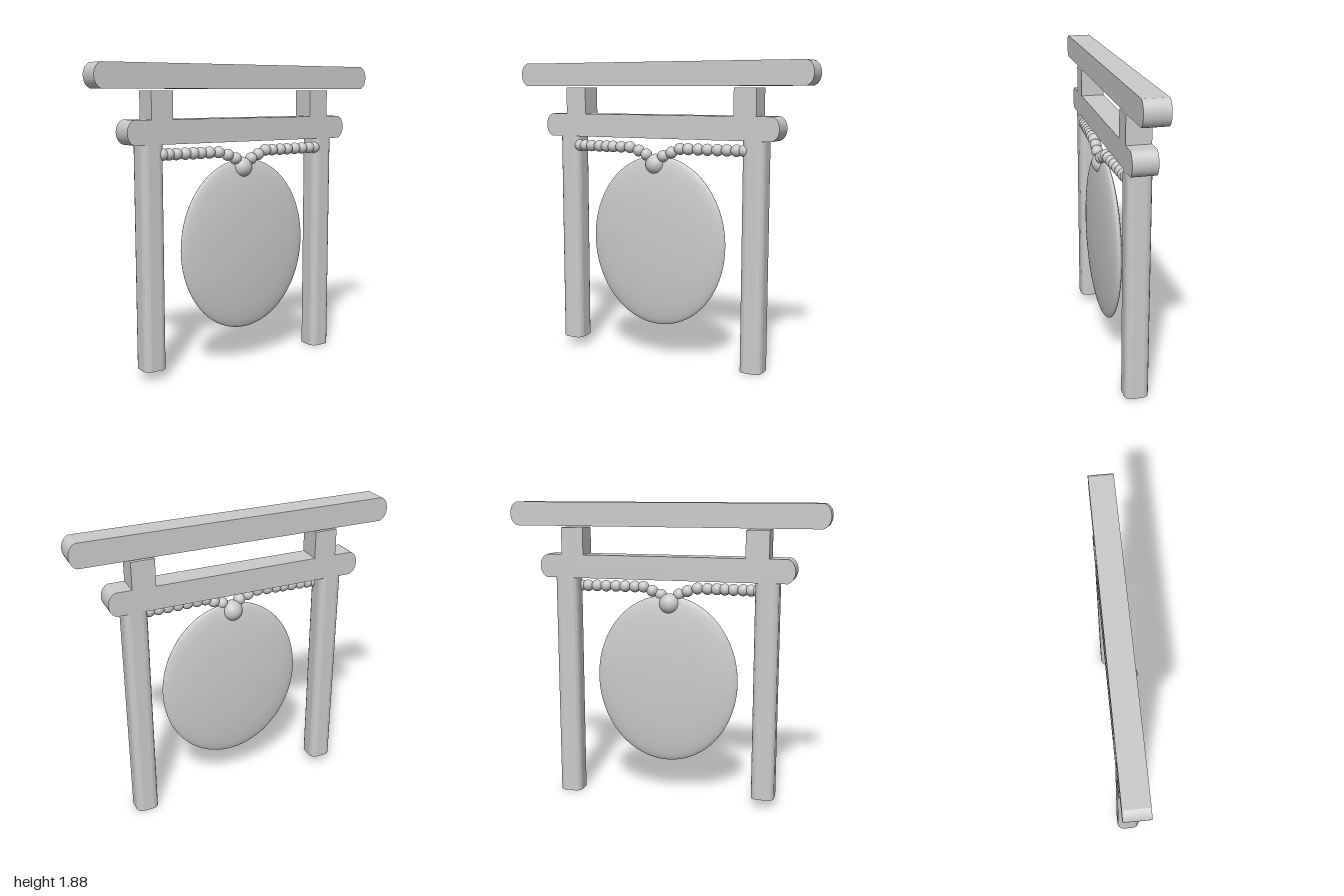
import * as THREE from 'three';

const BACK = -0.095, FRONT = 0.052, DEPTH = FRONT - BACK;
const material = new THREE.MeshStandardMaterial({ color: 0xcccccc });

function add(group, name, geometry, x, y, z) {
  const mesh = new THREE.Mesh(geometry, material);
  mesh.name = name;
  mesh.position.set(x, y, z);
  group.add(mesh);
  return mesh;
}

// Horizontal beam with bulging ends, extruded front to back
function beamGeometry(x0, x1, height) {
  const h = height / 2, bulge = 0.045;
  const s = new THREE.Shape();
  s.moveTo(x0 + bulge, -h);
  s.lineTo(x1 - bulge, -h);
  s.bezierCurveTo(x1 + 0.014, -h * 0.72, x1 + 0.014, h * 0.72, x1 - bulge, h);
  s.lineTo(x0 + bulge, h);
  s.bezierCurveTo(x0 - 0.014, h * 0.72, x0 - 0.014, -h * 0.72, x0 + bulge, -h);
  return new THREE.ExtrudeGeometry(s, { depth: DEPTH, bevelEnabled: false, curveSegments: 14 });
}

// Upright post: square section with softened corners, extruded upwards
function postGeometry(width, height) {
  const a = width / 2, b = DEPTH / 2, r = 0.036;
  const s = new THREE.Shape();
  s.moveTo(-a + r, -b);
  s.lineTo(a - r, -b);
  s.quadraticCurveTo(a - 0.006, -b + 0.006, a, -b + r);
  s.lineTo(a, b - r);
  s.quadraticCurveTo(a - 0.006, b - 0.006, a - r, b);
  s.lineTo(-a + r, b);
  s.quadraticCurveTo(-a + 0.006, b - 0.006, -a, b - r);
  s.lineTo(-a, -b + r);
  s.quadraticCurveTo(-a + 0.006, -b + 0.006, -a + r, -b);
  const g = new THREE.ExtrudeGeometry(s, { depth: height, bevelEnabled: false, curveSegments: 3 });
  return g.rotateX(-Math.PI / 2);
}

export function createModel() {
  const model = new THREE.Group();
  model.name = 'gongGate';
  const midZ = (BACK + FRONT) / 2;

  // Beams
  add(model, 'topBeam', beamGeometry(-1, 1, 0.147), 0, 1.811, BACK);
  add(model, 'lowerBeam', beamGeometry(-0.805, 0.803, 0.145), 0, 1.488, BACK);

  // Posts, the right one slightly shorter
  add(model, 'rightPost', postGeometry(0.144, 1.36), -0.635, 0.058, midZ);
  add(model, 'leftPost', postGeometry(0.144, 1.418), 0.639, 0, midZ);

  // Short blocks between the beams
  for (const [name, x] of [['rightBlock', -0.577], ['leftBlock', 0.588]]) {
    add(model, name, new THREE.BoxGeometry(0.142, 0.18, DEPTH), x, 1.638, midZ);
  }

  // Gong: flattened ball
  const gong = add(model, 'gong', new THREE.SphereGeometry(1, 64, 40), 0.008, 0.768, 0.03);
  gong.scale.set(0.459, 0.54, 0.056);

  // Beaded cord dipping to the knot
  const cord = new THREE.Group();
  cord.name = 'beadedCord';
  model.add(cord);
  const bead = new THREE.SphereGeometry(0.037, 20, 14);
  const beadXs = [
    -0.565, -0.525, -0.475, -0.415, -0.36, -0.31, -0.25, -0.185, -0.12, -0.065,
    0.052, 0.108, 0.165, 0.22, 0.285, 0.345, 0.41, 0.47, 0.53, 0.578,
  ];
  for (const x of beadXs) {
    const d = Math.abs(x);
    const y = 1.356 - Math.max(0, 0.165 - d) * 0.42;
    add(cord, 'bead', bead, x, y, 0.05 - d * 0.045);
  }
  add(cord, 'knot', new THREE.SphereGeometry(0.065, 28, 20), -0.008, 1.255, 0.03);

  return model;
}
